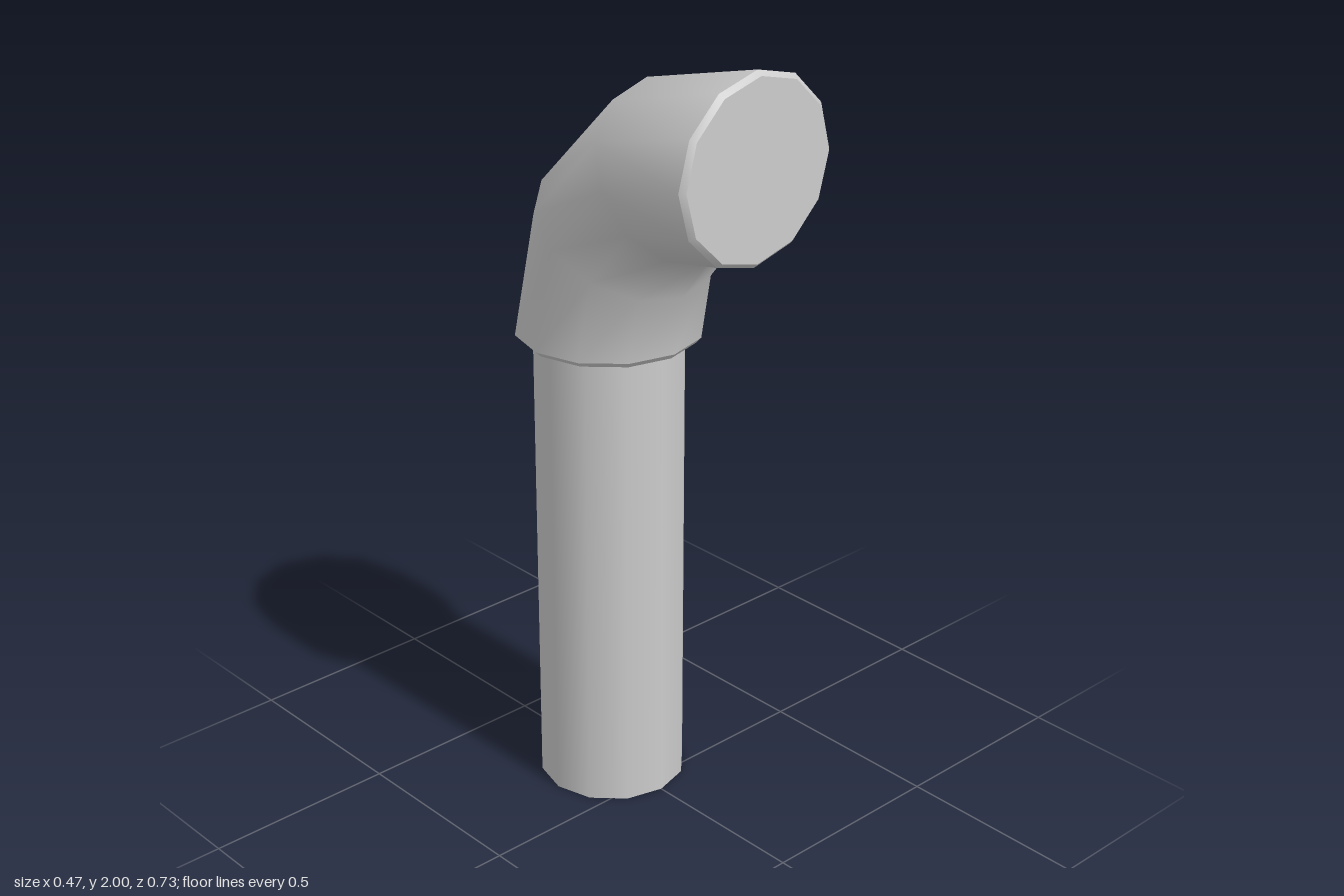
import * as THREE from 'three';
import { mergeGeometries } from 'three/addons/utils/BufferGeometryUtils.js';

const SIDES = 12;
const PIPE_Z = -0.135;

// One ring of the elbow, spanning outer [z, y] to inner [z, y], with a half width in x
function ring(outer, inner, halfWidth) {
  const points = [];
  for (let j = 0; j < SIDES; j++) {
    const t = (j / SIDES) * Math.PI * 2;
    const k = (1 + Math.cos(t)) / 2;
    points.push(
      Math.sin(t) * halfWidth,
      THREE.MathUtils.lerp(inner[1], outer[1], k),
      THREE.MathUtils.lerp(inner[0], outer[0], k)
    );
  }
  return points;
}

// Smooth skin through consecutive rings
function skin(rings) {
  const index = [];
  for (let i = 0; i < rings.length - 1; i++) {
    for (let j = 0; j < SIDES; j++) {
      const a = i * SIDES + j;
      const b = i * SIDES + ((j + 1) % SIDES);
      index.push(a, a + SIDES, b, b, a + SIDES, b + SIDES);
    }
  }
  return surface(rings.flat(), index);
}

// Flat lid on a ring
function cap(points, atStart) {
  const index = [];
  for (let j = 1; j < SIDES - 1; j++) {
    index.push(0, atStart ? j : j + 1, atStart ? j + 1 : j);
  }
  return surface(points, index);
}

function surface(positions, index) {
  const geometry = new THREE.BufferGeometry();
  geometry.setAttribute('position', new THREE.Float32BufferAttribute(positions, 3));
  geometry.setIndex(index);
  geometry.computeVertexNormals();
  return geometry;
}

export function createModel() {
  const model = new THREE.Group();
  const material = new THREE.MeshStandardMaterial({ color: 0xcccccc });

  // Upright pipe
  const pipe = new THREE.Mesh(new THREE.CylinderGeometry(0.19, 0.19, 1.24, SIDES), material);
  pipe.name = 'pipe';
  pipe.position.set(0, 0.62, PIPE_Z);
  model.add(pipe);

  // Elbow: mitred bend with chamfered, closed ends
  const body = [
    ring([-0.367, 1.247], [0.097, 1.247], 0.235),
    ring([-0.268, 1.64], [0.122, 1.4], 0.235),
    ring([0, 1.906], [0.21, 1.515], 0.235),
    ring([0.355, 2], [0.355, 1.54], 0.235),
  ];
  const bottom = ring([-0.353, 1.233], [0.085, 1.233], 0.221);
  const mouth = ring([0.367, 1.988], [0.367, 1.552], 0.222);
  const elbow = new THREE.Mesh(
    mergeGeometries([
      skin(body),
      skin([bottom, body[0]]),
      skin([body[3], mouth]),
      cap(bottom, true),
      cap(mouth, false),
    ]),
    material
  );
  elbow.name = 'elbow';
  model.add(elbow);

  return model;
}
